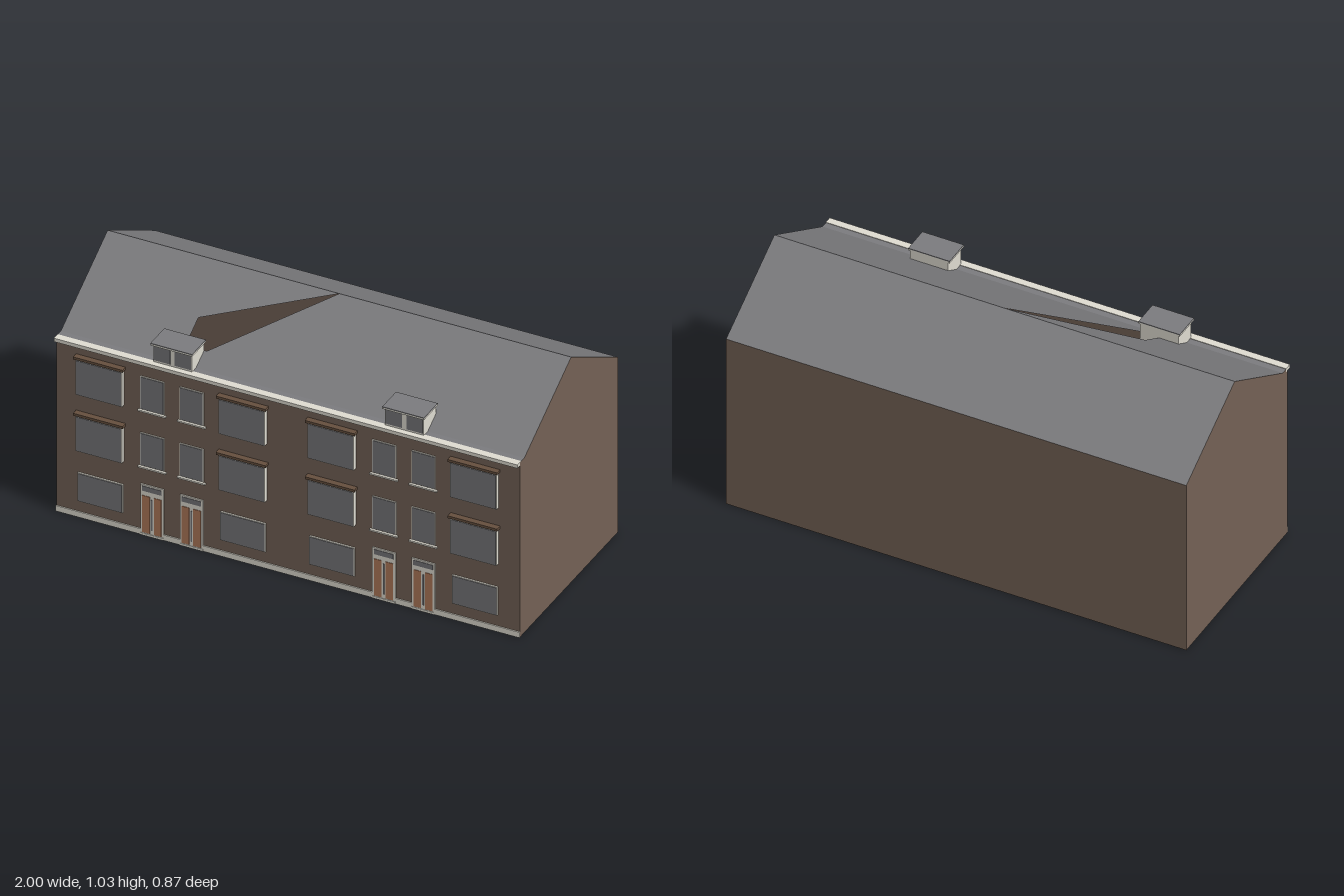
import * as THREE from 'three';

const mat = (name, color) => {
  const m = new THREE.MeshStandardMaterial({ color, side: THREE.DoubleSide });
  m.name = name;
  return m;
};

export function createModel() {
  const brick = mat('brick', 0x746256);
  const slate = mat('slate', 0x7c7c7f);
  const glass = mat('glass', 0x77777a);
  const cream = mat('cream', 0xe0ddd2);
  const wood = mat('wood', 0xb0795a);
  const lintelBrown = mat('lintelBrown', 0x66503f);

  const model = new THREE.Group();
  model.name = 'terraceHouse';

  // Box given by its extents on each axis
  const box = (parent, name, m, x0, x1, y0, y1, z0, z1) => {
    const mesh = new THREE.Mesh(new THREE.BoxGeometry(x1 - x0, y1 - y0, z1 - z0), m);
    mesh.position.set((x0 + x1) / 2, (y0 + y1) / 2, (z0 + z1) / 2);
    mesh.name = name;
    parent.add(mesh);
    return mesh;
  };
  const group = (name, parent = model) => {
    const g = new THREE.Group();
    g.name = name;
    parent.add(g);
    return g;
  };

  // Flat polygon whose 2D points are placed in space by a rule
  const sheet = (name, m, points, place) => {
    const geo = new THREE.ShapeGeometry(new THREE.Shape(points.map(p => new THREE.Vector2(...p))));
    const pos = geo.attributes.position;
    for (let i = 0; i < pos.count; i++) pos.setXYZ(i, ...place(pos.getX(i), pos.getY(i)));
    // keep normals outward (up, or away from the centre)
    geo.computeVertexNormals();
    const n = new THREE.Vector3().fromBufferAttribute(geo.attributes.normal, 0);
    const p = new THREE.Vector3().fromBufferAttribute(pos, 0).sub(new THREE.Vector3(0, 0.4, -0.02));
    if (n.dot(p) < 0) {
      geo.index.array.reverse();
      geo.computeVertexNormals();
    }
    const mesh = new THREE.Mesh(geo, m);
    mesh.name = name;
    model.add(mesh);
  };

  const FRONT = 0.408, BACK = -0.432, EAVES = 0.8, RIDGE = 1.032, RZ = -0.03, FOOT = 0.37;

  // Hollow shell: walls, gables and floor
  const wall = [[-1, 0], [1, 0], [1, EAVES], [-1, EAVES]];
  sheet('frontWall', brick, wall, (x, y) => [x, y, FRONT]);
  sheet('backWall', brick, wall, (x, y) => [x, y, BACK]);
  sheet('floor', brick, [[-1, BACK], [1, BACK], [1, FRONT], [-1, FRONT]], (x, z) => [x, 0, z]);
  const gable = [[BACK, 0], [FRONT, 0], [FRONT, EAVES], [FOOT, EAVES], [RZ, RIDGE], [BACK, EAVES]];
  for (const s of [-1, 1]) sheet(s < 0 ? 'rightGable' : 'leftGable', brick, gable, (z, y) => [s, y, z]);

  // Roof slopes; the front one is in two parts around an opening
  const frontSlope = (x, z) => [x, RIDGE - (RIDGE - EAVES) * (z - RZ) / (FOOT - RZ), z];
  sheet('backRoof', slate, [[-1, RZ], [1, RZ], [1, BACK], [-1, BACK]],
    (x, z) => [x, RIDGE - (RIDGE - EAVES) * (RZ - z) / (RZ - BACK), z]);
  sheet('frontRoofRight', slate,
    [[-1, FOOT], [-1, RZ], [0, RZ], [-0.497, 0.19], [-0.497, FOOT]], frontSlope);
  sheet('frontRoofLeft', slate,
    [[0, RZ], [1, RZ], [1, FOOT], [-0.497, FOOT], [-0.497, 0.3], [-0.405, 0.3]], frontSlope);
  sheet('eavesFlat', slate, [[-1, FOOT], [1, FOOT], [1, FRONT], [-1, FRONT]], (x, z) => [x, EAVES, z]);

  box(model, 'gutter', cream, -1, 1, 0.786, 0.802, 0.398, 0.43);
  box(model, 'plinth', cream, -1, 1, 0, 0.025, FRONT, 0.413);

  // Window: shallow frame with a pane set on its face
  const addWindow = (parent, name, cx, w, y0, y1, depth) => {
    const g = group(name, parent);
    const x0 = cx - w / 2, x1 = cx + w / 2, z = FRONT + depth;
    box(g, 'frame', cream, x0, x1, y0, y1, FRONT, z);
    const t = 0.003;
    box(g, 'pane', glass, x0 + t, x1 - t, y0 + t, y1 - t, z, z + 0.002);
    return g;
  };

  const addDoor = (parent, cx) => {
    const g = group('door', parent);
    const x0 = cx - 0.05, x1 = cx + 0.05, z = 0.413;
    box(g, 'doorFrame', cream, x0, x1, 0.005, 0.232, FRONT - 0.003, z);
    box(g, 'transom', glass, x0 + 0.008, x1 - 0.008, 0.203, 0.225, z, z + 0.002);
    for (const s of [-1, 1]) {
      const c = cx + s * 0.025;
      box(g, 'doorPanel', wood, c - 0.016, c + 0.016, 0.014, 0.182, z, z + 0.002);
    }
    box(g, 'doorLight', glass, cx - 0.003, cx + 0.003, 0.03, 0.17, z, z + 0.002);
    box(g, 'step', cream, x0, x1, 0, 0.01, FRONT, z + 0.002);
  };

  // Two identical houses side by side
  for (const hx of [-0.5, 0.5]) {
    const house = group(hx < 0 ? 'rightHouse' : 'leftHouse');
    for (const s of [-1, 1]) {
      const wide = hx + s * 0.308, narrow = hx + s * 0.085;
      addWindow(house, 'groundWindow', wide, 0.195, 0.075, 0.205, 0.007);
      addDoor(house, narrow);
      for (const y of [0.31, 0.568]) {
        const bay = addWindow(house, 'bayWindow', wide, 0.2, y, y + 0.16, 0.018);
        box(bay, 'lintel', lintelBrown, wide - 0.107, wide + 0.107, y + 0.164, y + 0.175, FRONT, 0.434);
        const slim = addWindow(house, 'narrowWindow', narrow, 0.103, y + 0.006, y + 0.156, 0.004);
        box(slim, 'sill', cream, narrow - 0.06, narrow + 0.06, y - 0.004, y + 0.003, FRONT, 0.418);
      }
    }

    // Dormer with paired panes and a flat roof
    const d = group('dormer', house);
    box(d, 'dormerBody', cream, hx - 0.083, hx + 0.083, EAVES, 0.882, 0.3, 0.405);
    for (const s of [-1, 1]) {
      const c = hx + s * 0.045;
      box(d, 'dormerPane', glass, c - 0.035, c + 0.035, 0.81, 0.874, 0.405, 0.407);
    }
    box(d, 'dormerFascia', cream, hx - 0.09, hx + 0.09, 0.88, 0.886, 0.298, 0.416);
    box(d, 'dormerRoof', slate, hx - 0.09, hx + 0.09, 0.886, 0.89, 0.298, 0.416);
  }
  return model;
}
